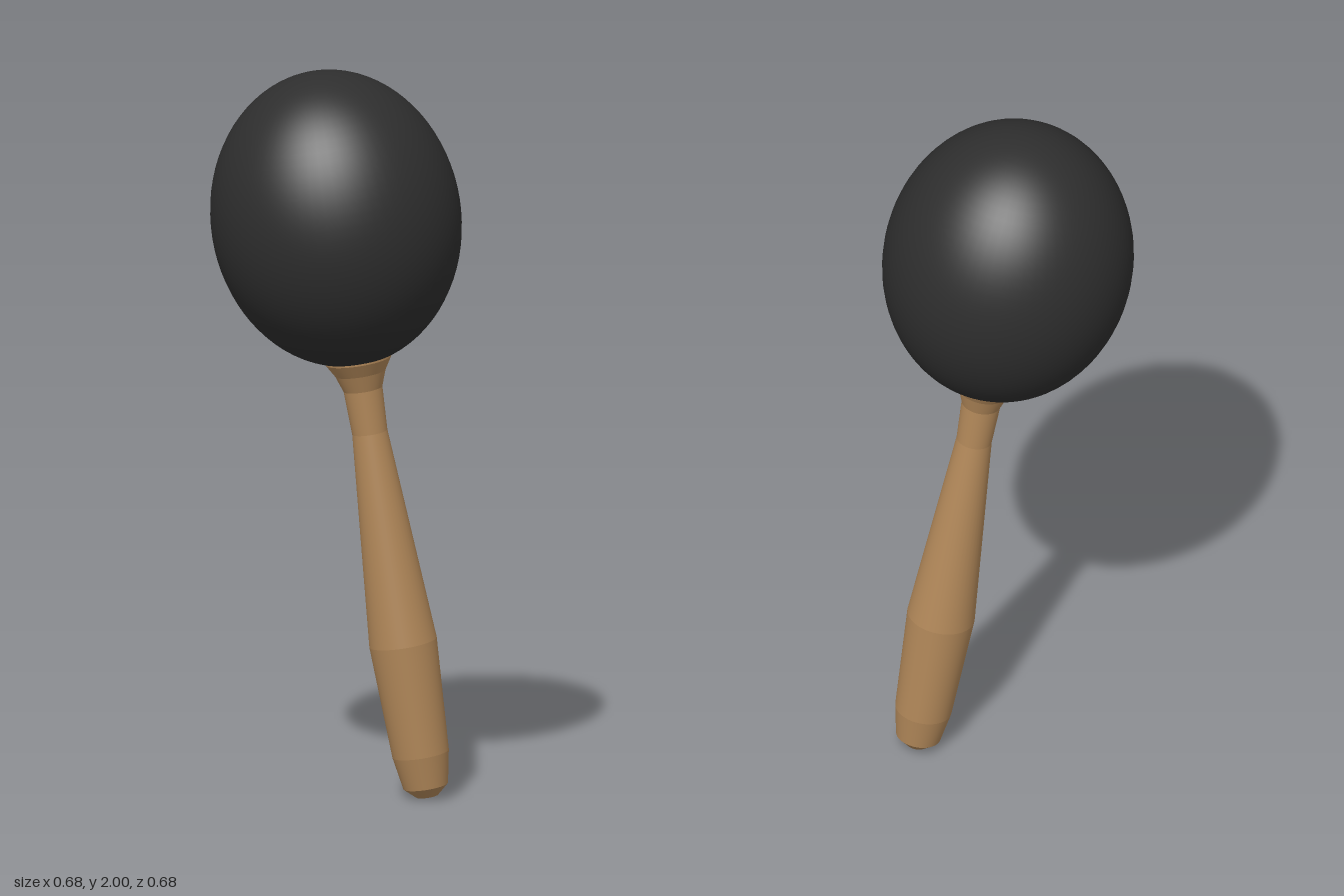
import * as THREE from 'three';
import { mergeGeometries } from 'three/addons/utils/BufferGeometryUtils.js';

export function createModel() {
  const black = new THREE.MeshStandardMaterial({ color: 0x2e2e2e });
  black.name = 'matte black';
  const wood = new THREE.MeshStandardMaterial({ color: 0xb3895a });
  wood.name = 'light wood';

  // Egg-shaped head, centred on the tilting group's origin
  const head = new THREE.Mesh(new THREE.SphereGeometry(1, 64, 40), black);
  head.name = 'head';
  head.scale.set(0.338, 0.405, 0.338);

  // Turned rings: [radius, distance below the head's centre]
  const collarRings = [[0.092, 0.375], [0.09, 0.395], [0.069, 0.43], [0.053, 0.475]];
  const gripRings = [
    [0.053, 0.475], [0.048, 0.595], [0.092, 1.18], [0.077, 1.49], [0.061, 1.58], [0.03, 1.608], [0, 1.608],
  ];

  // One conical band per ring pair keeps the turned edges crisp
  const turned = (name, rings) => {
    const bands = rings.slice(1).map(([r, d], i) => {
      const [r0, d0] = rings[i];
      if (d === d0) return new THREE.CircleGeometry(r0, 40).rotateX(Math.PI / 2).translate(0, -d, 0);
      return new THREE.CylinderGeometry(r0, r, d - d0, 40, 1, true).translate(0, -(d + d0) / 2, 0);
    });
    const mesh = new THREE.Mesh(mergeGeometries(bands), wood);
    mesh.name = name;
    return mesh;
  };

  // Whole shaker leans, its handle toward +x
  const shaker = new THREE.Group();
  shaker.name = 'shaker';
  shaker.add(head, turned('collar', collarRings), turned('handle', gripRings));
  shaker.position.y = 1.596;
  shaker.rotation.z = 0.154;

  const model = new THREE.Group();
  model.name = 'maraca';
  model.add(shaker);
  return model;
}
